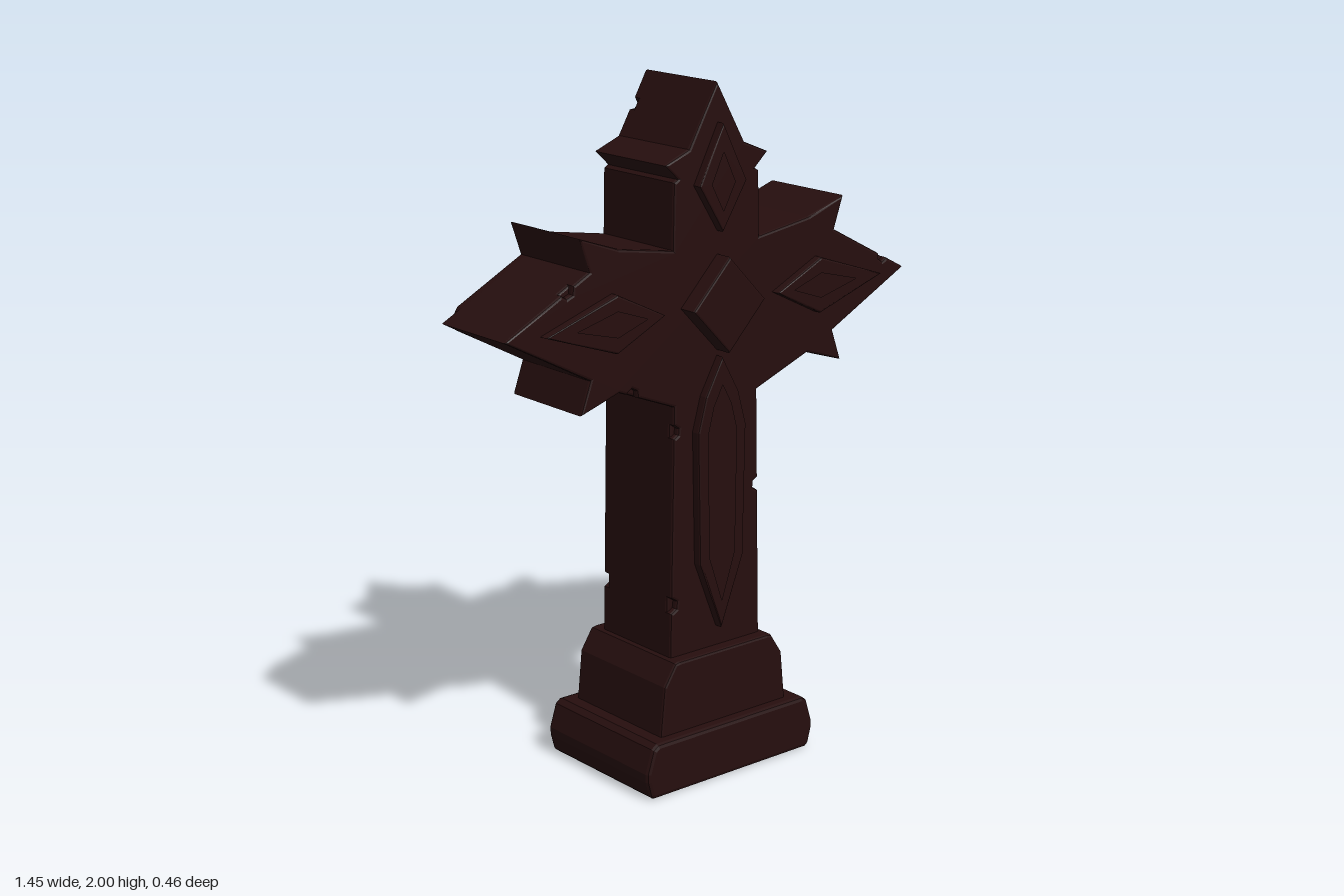
import * as THREE from 'three';

const stone = new THREE.MeshStandardMaterial({ color: 0x260e0e });
stone.name = 'dark red stone';

// Right half of a symmetric outline, listed top to bottom, closed by its mirror image
const mirror = (half) => [
  ...half,
  ...half.filter(([x]) => x > 0).reverse().map(([x, y]) => [-x, y]),
];

const toPath = (pts, Type) => new Type(pts.map(([x, y]) => new THREE.Vector2(x, y)));

// Bevelled slab of an outline between z0 and z1, with an optional opening
function slab(name, pts, z0, z1, bevel = 0.008, hole = null) {
  const shape = toPath(pts, THREE.Shape);
  if (hole) shape.holes.push(toPath(hole, THREE.Path));
  const geo = new THREE.ExtrudeGeometry(shape, {
    depth: z1 - z0 - 2 * bevel, bevelEnabled: true, bevelThickness: bevel,
    bevelSize: bevel, bevelOffset: -bevel, bevelSegments: 2,
  });
  geo.translate(0, 0, z0 + bevel);
  const mesh = new THREE.Mesh(geo, stone);
  mesh.name = name;
  return mesh;
}

// Cuts a small notch into the edge of a clockwise outline nearest to (cx, cy)
function chip(pts, [cx, cy, size]) {
  const c = new THREE.Vector3(cx, cy, 0);
  let best = { dist: Infinity };
  pts.forEach((p, i) => {
    const q = pts[(i + 1) % pts.length];
    const line = new THREE.Line3(new THREE.Vector3(...p, 0), new THREE.Vector3(...q, 0));
    const near = line.closestPointToPoint(c, true, new THREE.Vector3());
    const dist = near.distanceTo(c);
    if (dist < best.dist) best = { dist, i, near, dir: line.delta(new THREE.Vector3()).normalize() };
  });
  const { near: n, dir: d, i } = best;
  const at = (along, inward) => [
    n.x + d.x * along + d.y * inward,
    n.y + d.y * along - d.x * inward,
  ];
  const notch = [at(-size, 0), at(-size * 0.5, size * 0.8), at(size * 0.4, size * 0.9), at(size, 0)];
  return [...pts.slice(0, i + 1), ...notch, ...pts.slice(i + 1)];
}

export function createModel() {
  const group = new THREE.Group();
  group.name = 'stoneCross';

  // Cross body: full core with chipped layers in front and behind
  const outline = mirror([
    [0, 2], [0.1, 1.825], [0.185, 1.79], [0.14, 1.748], [0.153, 1.74], [0.157, 1.555],
    [0.345, 1.585], [0.477, 1.63], [0.445, 1.535], [0.725, 1.387], [0.445, 1.238],
    [0.477, 1.145], [0.345, 1.187], [0.153, 1.112], [0.168, 0.36],
  ]);
  const front = [
    [-0.3, 1.17, 0.022], [-0.155, 1.04, 0.02], [-0.165, 0.53, 0.024],
    [0.157, 0.83, 0.02], [0.64, 1.43, 0.018], [-0.52, 1.5, 0.022],
  ].reduce(chip, outline);
  const back = [
    [-0.05, 1.91, 0.018], [-0.165, 0.53, 0.022], [0.35, 1.587, 0.022], [0.155, 1.2, 0.015],
  ].reduce(chip, outline)
    // broken tip of one arm
    .flatMap((p) => (p[0] < -0.72 ? [[-0.67, 1.358], [-0.685, 1.38], [-0.66, 1.421]] : [p]));
  group.add(
    slab('crossCore', outline, -0.135, 0.135),
    slab('crossFrontLayer', front, 0.115, 0.155),
    slab('crossBackLayer', back, -0.155, -0.115),
  );

  // Stepped base
  group.add(
    slab('upperPlinth', mirror([[0.165, 0.375], [0.182, 0.372], [0.222, 0.31], [0.238, 0.15]]), -0.195, 0.195),
    slab('lowerPlinth', mirror([
      [0.275, 0.163], [0.293, 0.15], [0.315, 0.08], [0.314, 0.055], [0.302, 0.01], [0.29, 0],
    ]), -0.232, 0.232, 0.012),
  );

  // Raised ornaments, the same on both faces
  const diamond = (x0, x1, y0, y1, xm = (x0 + x1) / 2, ym = (y0 + y1) / 2) =>
    [[xm, y1], [x1, ym], [xm, y0], [x0, ym]];
  const ornaments = [
    ['armFrameLeft', diamond(0.205, 0.61, 1.305, 1.468, 0.37, 1.387),
      diamond(0.26, 0.515, 1.345, 1.429, 0.37, 1.387)],
    ['armFrameRight', diamond(-0.61, -0.205, 1.305, 1.468, -0.37, 1.387),
      diamond(-0.515, -0.26, 1.345, 1.429, -0.37, 1.387)],
    ['topFrame', diamond(-0.085, 0.085, 1.59, 1.89, 0, 1.725),
      diamond(-0.048, 0.048, 1.64, 1.82, 0, 1.725)],
    ['shaftFrame', mirror([[0, 1.237], [0.06, 1.13], [0.088, 1.03], [0.08, 0.64], [0, 0.435]]),
      mirror([[0, 1.165], [0.037, 1.1], [0.058, 1.02], [0.052, 0.655], [0, 0.51]])],
  ];
  for (const side of [1, -1]) {
    const face = (name, pts, z, hole) => group.add(
      slab(name, pts, Math.min(side * 0.14, side * z), Math.max(side * 0.14, side * z), 0.006, hole));
    const where = side > 0 ? 'Front' : 'Back';
    for (const [name, pts, hole] of ornaments) face(name + where, pts, 0.182, hole);
    face('centreDiamond' + where, diamond(-0.13, 0.13, 1.253, 1.525), 0.212);
  }
  return group;
}
